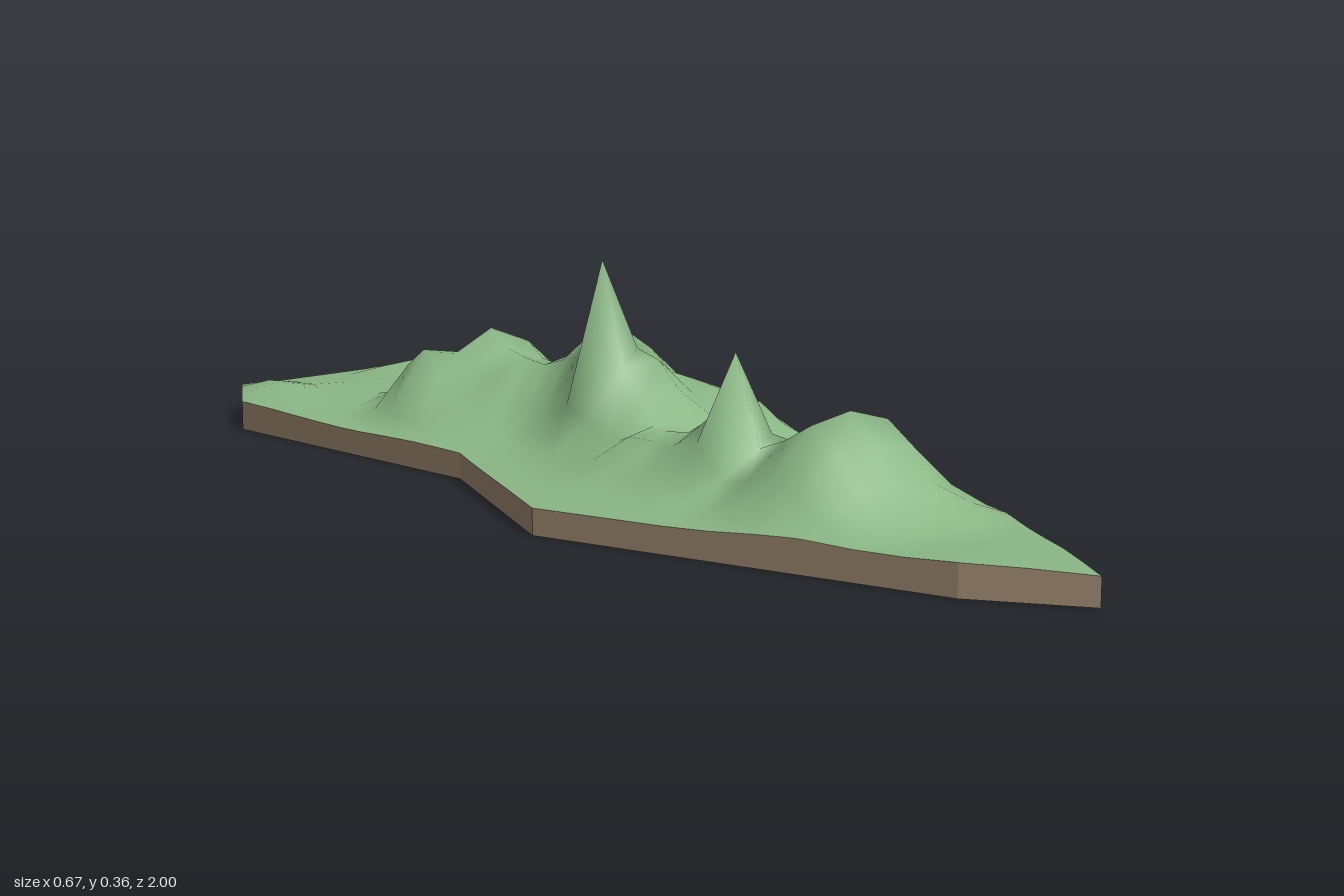
import * as THREE from 'three';

// Outline of the slab as two chains [x, z], running from back to front
const RIGHT = [[0.11, -1], [0.2, -0.98], [0.09, -0.78], [0.3, -0.45], [0.335, 0.1], [0.29, 0.65], [0.16, 1]];
const LEFT = [[0.11, -1], [-0.27, -0.92], [-0.335, -0.75], [-0.19, -0.15], [-0.28, 0.27], [0.03, 0.87], [0.16, 1]];

// Hills: x, z, height, spread in x, spread in z
const HILLS = [
  [0.1, 0.85, 0.01, 0.1, 0.08],
  [0.04, 0.533, 0.135, 0.065, 0.09],   // front hill
  [0.095, 0.533, 0.125, 0.05, 0.085],
  [0.15, 0.533, 0.135, 0.06, 0.09],
  [0.18, 0.4, 0.095, 0.065, 0.07],     // front shoulder
  [0.03, 0.333, 0.21, 0.045, 0.045],   // front spike
  [0.03, 0.3, 0.1, 0.08, 0.08],
  [0, 0.17, 0.075, 0.08, 0.08],        // saddle
  [0.07, 0.02, 0.16, 0.08, 0.06],
  [0.03, -0.067, 0.31, 0.04, 0.04],    // main spike
  [0.1, -0.15, 0.2, 0.085, 0.12],      // central massif
  [0.25, -0.04, 0.1, 0.06, 0.1],       // right shoulder
  [0.22, -0.27, 0.125, 0.06, 0.12],
  [0.03, -0.33, 0.115, 0.1, 0.1],      // ridge between the hills
  [0.04, -0.467, 0.155, 0.095, 0.08],  // back hill
  [-0.09, -0.467, 0.13, 0.04, 0.08],
  [-0.05, -0.75, 0.023, 0.2, 0.14],    // back plain
  [-0.24, -0.8, 0.033, 0.06, 0.09],
  [0.1, -0.94, 0.031, 0.09, 0.04],
];

function height(x, z) {
  let sum = 0;
  for (const [hx, hz, h, sx, sz] of HILLS) {
    const g = h * Math.exp(-0.5 * (((x - hx) / sx) ** 2 + ((z - hz) / sz) ** 2));
    sum += g ** 3;
  }
  return 0.041 + Math.cbrt(sum);
}

// Smooth land normal from the slope around a point
function slopeNormal([x, , z]) {
  const e = 0.05;
  const n = new THREE.Vector3(height(x - e, z) - height(x + e, z), 2 * e, height(x, z - e) - height(x, z + e));
  return n.normalize().toArray();
}

function chainX(chain, z) {
  for (let i = 1; i < chain.length; i++) {
    const [x0, z0] = chain[i - 1];
    const [x1, z1] = chain[i];
    if (z <= z1) return x0 + (x1 - x0) * Math.max(0, (z - z0) / (z1 - z0));
  }
  return chain[chain.length - 1][0];
}

function build(triangles) {
  const g = new THREE.BufferGeometry();
  g.setAttribute('position', new THREE.Float32BufferAttribute(triangles.flat(2), 3));
  g.computeVertexNormals();
  return g;
}

export function createModel() {
  const green = new THREE.MeshStandardMaterial({ color: 0x8ab685 });
  green.name = 'grass green';
  const brown = new THREE.MeshStandardMaterial({ color: 0x98846d });
  brown.name = 'earth brown';

  // Rows at every grid line and every corner of the outline
  const zs = [...RIGHT, ...LEFT].map((p) => p[1]);
  for (let k = -14; k <= 14; k++) zs.push(k / 15);
  const rowZ = zs.sort((a, b) => a - b).filter((z, i) => i === 0 || z - zs[i - 1] > 1e-6);

  // Grid columns are clamped to the outline
  const columns = [-1];
  for (let k = -5; k <= 4; k++) columns.push(0.03 + k / 15);
  columns.push(1);
  const rows = rowZ.map((z) => {
    const l = chainX(LEFT, z);
    const r = chainX(RIGHT, z);
    return columns.map((c) => {
      const x = Math.min(r, Math.max(l, c));
      return [x, height(x, z), z];
    });
  });

  const land = [];
  const wall = [];
  const floor = [];
  const quad = (list, a, b, c, d) => list.push([a, b, c], [c, b, d]);
  const down = (p) => [p[0], 0, p[2]];
  const last = columns.length - 1;
  for (let i = 0; i + 1 < rows.length; i++) {
    const p = rows[i];
    const q = rows[i + 1];
    for (let j = 0; j < last; j++) {
      if (p[j][0] === p[j + 1][0] && q[j][0] === q[j + 1][0]) continue;
      quad(land, p[j], q[j], p[j + 1], q[j + 1]);
    }
    quad(wall, p[last], q[last], down(p[last]), down(q[last]));
    quad(wall, q[0], p[0], down(q[0]), down(p[0]));
    quad(floor, down(p[0]), down(p[last]), down(q[0]), down(q[last]));
  }

  // Smooth land surface, sharp walls and flat underside
  const landGeometry = build(land);
  landGeometry.setAttribute('normal', new THREE.Float32BufferAttribute(land.flat().map(slopeNormal).flat(), 3));
  const group = new THREE.Group();
  group.name = 'terrain';
  for (const [name, geometry, material] of [
    ['landSurface', landGeometry, green],
    ['sideWalls', build(wall), brown],
    ['underside', build(floor), brown],
  ]) {
    const mesh = new THREE.Mesh(geometry, material);
    mesh.name = name;
    group.add(mesh);
  }
  return group;
}
